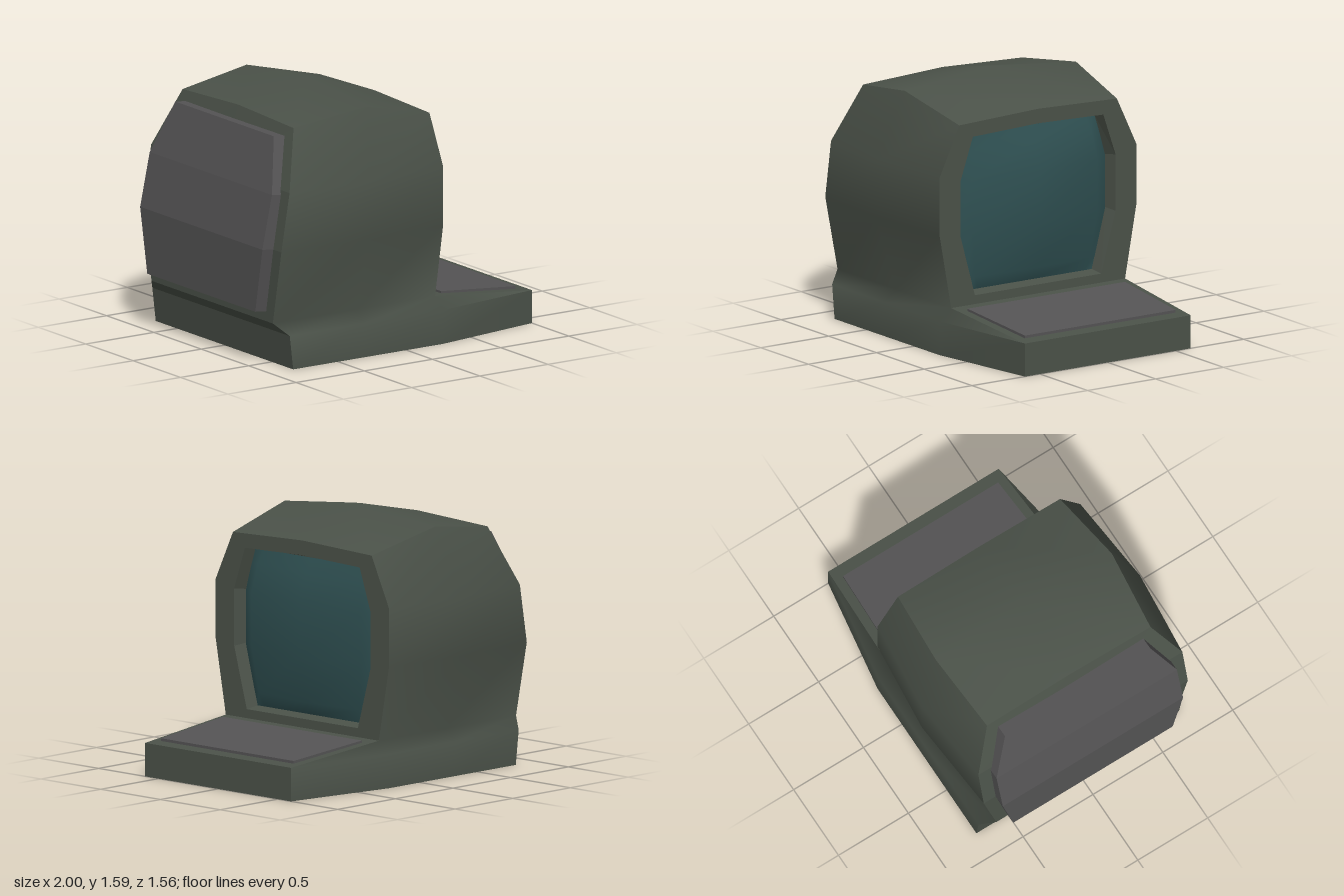
import * as THREE from 'three';

const bodyMat = new THREE.MeshStandardMaterial({ color: 0x4b5249, side: THREE.DoubleSide });
const panelMat = new THREE.MeshStandardMaterial({ color: 0x555455 });
const screenMat = new THREE.MeshStandardMaterial({ color: 0x2f5052 });

// Skin over rows of points (top to bottom, left to right seen from outside); null leaves a gap
function grid(rows, flat = false) {
  const n = rows[0].length, index = [];
  for (let i = 0; i < rows.length - 1; i++) {
    for (let j = 0; j < n - 1; j++) {
      if (!(rows[i][j] && rows[i][j + 1] && rows[i + 1][j] && rows[i + 1][j + 1])) continue;
      const a = i * n + j, b = a + 1, d = a + n, c = d + 1;
      index.push(a, d, b, d, c, b);
    }
  }
  let geo = new THREE.BufferGeometry();
  geo.setAttribute('position', new THREE.Float32BufferAttribute(rows.flat().flatMap(p => p || [0, 0, 0]), 3));
  geo.setIndex(index);
  if (flat) geo = geo.toNonIndexed();
  geo.computeVertexNormals();
  return geo;
}

// Raised plate: outer rows of [left, right] points, with walls dropped by an offset
function slab(rows, offset) {
  const drop = p => p.map((v, k) => v + offset[k]);
  const cap = ([l, r]) => [drop(l), drop(l), drop(r), drop(r)];
  return grid([cap(rows[0]), ...rows.map(([l, r]) => [drop(l), l, r, drop(r)]), cap(rows[rows.length - 1])], true);
}

const mirror = ([x, y, z]) => [x, y, -z];

// Half outlines [z, y] from the top centre down
const faceHalf = [[0, 1.425], [0.58, 1.405], [0.725, 1.1], [0.725, 0.74], [0.64, 0.28]];
const openingHalf = [[0, 1.335], [0.48, 1.32], [0.57, 1.06], [0.57, 0.71], [0.465, 0.335]];
const glassHalf = [[0, 1.315], [0.47, 1.305], [0.55, 1.05], [0.55, 0.72], [0.45, 0.35]];
const loop = half => [...half.map(([z, y]) => [-z, y]), ...half.slice(1).reverse()];

export function createModel() {
  const model = new THREE.Group();
  const add = (name, geo, mat, parent = model) => {
    const mesh = new THREE.Mesh(geo, mat);
    mesh.name = name;
    parent.add(mesh);
  };
  const housing = new THREE.Group();
  housing.name = 'housing';
  model.add(housing);

  // Side wall: columns run back, middle, front of the hood, front of the base
  const side = [
    [[-0.73, 1.455, 0.585], [-0.23, 1.525, 0.63], [0.27, 1.405, 0.58], null],
    [[-0.86, 1.1, 0.73], [-0.31, 1.1, 0.78], [0.27, 1.1, 0.725], null],
    [[-0.92, 0.74, 0.73], [-0.31, 0.74, 0.78], [0.27, 0.74, 0.725], null],
    [[-0.92, 0.28, 0.64], [-0.31, 0.28, 0.64], [0.27, 0.28, 0.64], [1, 0.205, 0.61]],
    [[-0.855, 0.21, 0.725], [-0.31, 0.21, 0.725], [0.27, 0.21, 0.725], [1, 0.205, 0.61]],
    [[-0.83, 0, 0.725], [-0.31, 0, 0.725], [0.27, 0, 0.725], [1, 0, 0.61]],
  ];
  add('leftSide', grid(side), bodyMat, housing);
  add('rightSide', grid(side.map(r => r.map(p => p && mirror(p)).reverse())), bodyMat, housing);

  // Domed roof
  const edge = side[0].slice(0, 3);
  const ridge = [[-0.73, 1.48, 0], [-0.23, 1.59, 0], [0.27, 1.425, 0]];
  add('roof', grid([edge.map(mirror), ridge, edge]), bodyMat, housing);

  // Back wall
  const back = side.map(([p], i) => [mirror(p), i ? [p[0], p[1], 0] : ridge[0], p]);
  add('backWall', grid(back, true), bodyMat, housing);

  // Keyboard deck, front edge and underside of the base
  const deck = [side[3][2], side[3][3]], floor = side[5];
  add('deck', grid([deck.map(mirror), deck], true), bodyMat, housing);
  add('baseFront', grid([side[4], floor].map(r => [r[3], mirror(r[3])]), true), bodyMat, housing);
  add('underside', grid([floor, floor.map(mirror)], true), bodyMat, housing);

  // Screen surround with its opening
  const toPoints = half => loop(half).map(([z, y]) => new THREE.Vector2(z, y));
  const face = new THREE.Shape(toPoints(faceHalf));
  face.holes.push(new THREE.Path(toPoints(openingHalf)));
  add('screenSurround', new THREE.ShapeGeometry(face).rotateY(Math.PI / 2).translate(0.27, 0, 0), bodyMat, housing);

  // Walls of the screen recess
  const ring = (half, x) => {
    const pts = loop(half).map(([z, y]) => [x, y, z]);
    return [...pts, pts[0]];
  };
  add('screenRecess', grid([ring(openingHalf, 0.27), ring(glassHalf, 0.19)], true), bodyMat, housing);

  // Bulging glass: [y, rim z, rim x, shoulder z, shoulder x, centre x]
  const glass = [
    [1.31, 0.47, 0.19, 0.4, 0.19, 0.19],
    [1.22, 0.5, 0.19, 0.43, 0.21, 0.23],
    [1.04, 0.55, 0.19, 0.46, 0.235, 0.3],
    [0.72, 0.55, 0.19, 0.46, 0.235, 0.3],
    [0.43, 0.475, 0.19, 0.42, 0.21, 0.235],
    [0.35, 0.45, 0.19, 0.39, 0.19, 0.19],
  ].map(([y, rz, rx, sz, sx, cx]) => [[rx, y, rz], [sx, y, sz], [cx, y, 0], [sx, y, -sz], [rx, y, -rz]]);
  add('screen', grid(glass), screenMat);

  // Keyboard plate
  const keys = [[0.355, 0.285, 0.58], [0.92, 0.23, 0.555]];
  add('keyboardPlate', slab([keys.map(mirror), keys], [0, -0.03, 0]), panelMat);

  // Rear cover following the bend of the back wall
  const cover = [[-0.83, 1.405, 0.52], [-0.93, 1.08, 0.645], [-1, 0.75, 0.645], [-1, 0.35, 0.57]];
  add('rearCover', slab(cover.map(p => [mirror(p), p]), [0.095, -0.01, 0]), panelMat);

  return model;
}
